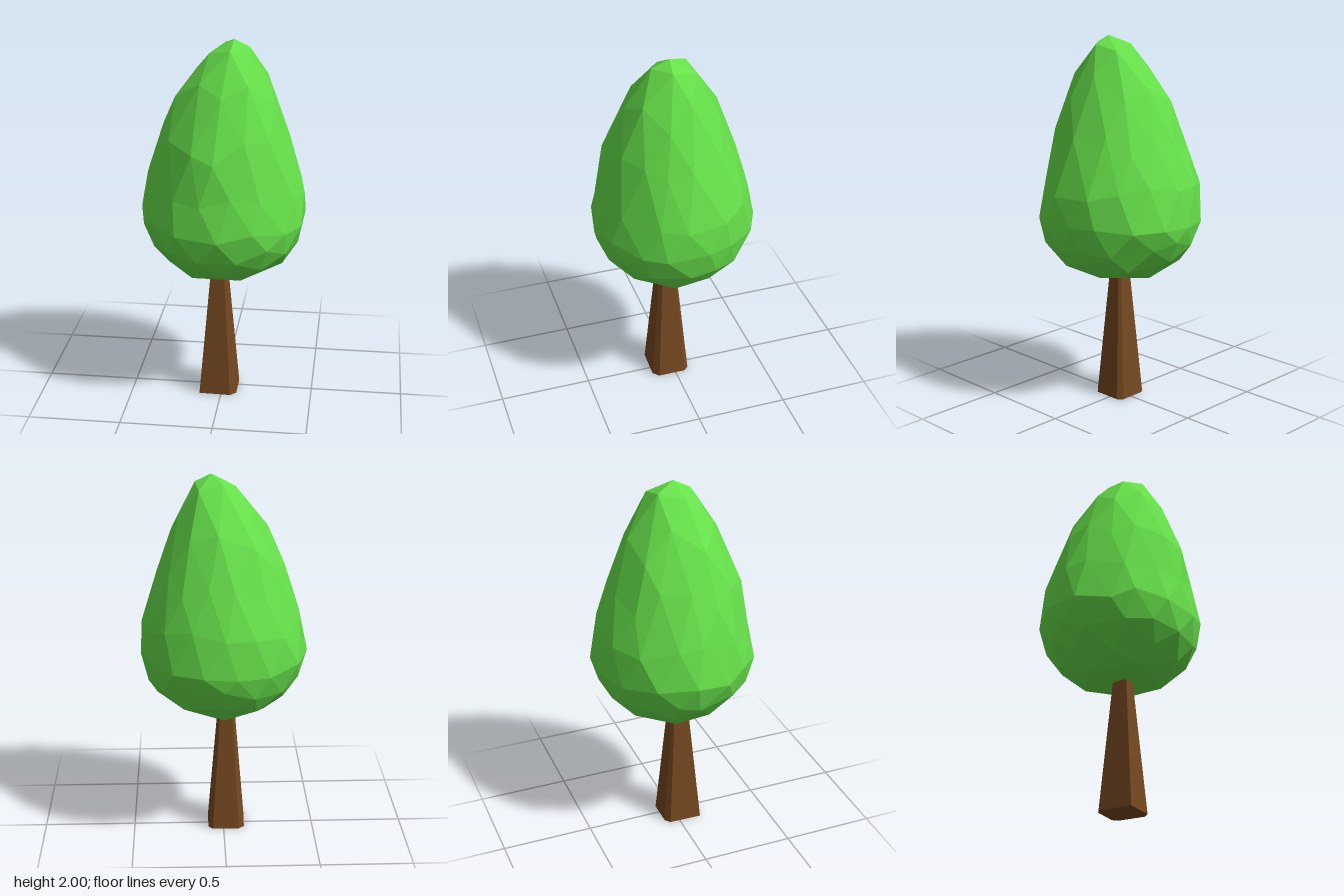
import * as THREE from 'three';
import { mergeVertices } from 'three/addons/utils/BufferGeometryUtils.js';

// Crown profile from tip to base: [t, y, xMin, xMax, zMin, zMax]
const PROFILE = [
  [0.00, 2.00, 0.06, 0.06, 0.03, 0.03],
  [0.08, 1.98, -0.01, 0.13, -0.07, 0.09],
  [0.13, 1.93, -0.07, 0.17, -0.13, 0.15],
  [0.18, 1.85, -0.14, 0.22, -0.18, 0.21],
  [0.25, 1.67, -0.28, 0.30, -0.26, 0.28],
  [0.36, 1.42, -0.36, 0.37, -0.355, 0.38],
  [0.47, 1.18, -0.435, 0.445, -0.43, 0.41],
  [0.56, 1.04, -0.45, 0.45, -0.44, 0.44],
  [0.68, 0.90, -0.40, 0.41, -0.395, 0.40],
  [0.80, 0.79, -0.31, 0.33, -0.32, 0.32],
  [0.90, 0.72, -0.22, 0.20, -0.23, 0.23],
  [1.00, 0.705, -0.03, -0.03, 0.00, 0.00],
];

function sampleProfile(t) {
  let i = 1;
  while (i < PROFILE.length - 1 && PROFILE[i][0] < t) i++;
  const a = PROFILE[i - 1], b = PROFILE[i];
  const k = (t - a[0]) / (b[0] - a[0]);
  return a.map((v, j) => THREE.MathUtils.lerp(v, b[j], k));
}

function seeded(seed) {
  return () => {
    seed = (seed * 16807) % 2147483647;
    return seed / 2147483647 - 0.5;
  };
}

// Faceted ball with a vertex at each pole, wrapped onto the profile
function crownGeometry() {
  const rand = seeded(4271);
  let geo = new THREE.IcosahedronGeometry(1, 2);
  geo.rotateX(-Math.atan((1 + Math.sqrt(5)) / 2));
  geo.deleteAttribute('normal');
  geo.deleteAttribute('uv');
  geo = mergeVertices(geo, 1e-3);
  const pos = geo.attributes.position;
  for (let i = 0; i < pos.count; i++) {
    const polar = Math.acos(THREE.MathUtils.clamp(pos.getY(i), -1, 1)) / Math.PI;
    const isPole = polar < 0.02 || polar > 0.98;
    const t = isPole ? Math.round(polar) : polar + rand() * 0.04;
    const azimuth = Math.atan2(pos.getZ(i), pos.getX(i)) + rand() * 0.16;
    const swell = 1 + rand() * 0.025;
    const [, y, x0, x1, z0, z1] = sampleProfile(t);
    pos.setXYZ(i,
      (x0 + x1) / 2 + (x1 - x0) / 2 * swell * Math.cos(azimuth),
      y,
      (z0 + z1) / 2 + (z1 - z0) / 2 * swell * Math.sin(azimuth));
  }
  geo.computeVertexNormals();
  return geo;
}

// Square trunk with three cut corners, extruded upward and tapered
function trunkGeometry() {
  const base = [
    [-0.12, 0.125], [0.052, 0.13], [0.085, 0.098], [0.085, -0.055],
    [0.06, -0.08], [-0.085, -0.08], [-0.115, -0.055],
  ];
  const shape = new THREE.Shape(base.map(([x, z]) => new THREE.Vector2(x, -z)));
  const geo = new THREE.ExtrudeGeometry(shape, { depth: 0.75, bevelEnabled: false });
  geo.rotateX(-Math.PI / 2);
  const cx = -0.018, cz = 0.026;
  const pos = geo.attributes.position;
  for (let i = 0; i < pos.count; i++) {
    const s = 1 - 0.58 * pos.getY(i) / 0.72;
    pos.setX(i, cx + (pos.getX(i) - cx) * s);
    pos.setZ(i, cz + (pos.getZ(i) - cz) * s);
  }
  geo.computeVertexNormals();
  return geo;
}

export function createModel() {
  const tree = new THREE.Group();
  tree.name = 'tree';
  const addPart = (name, geometry, color) => {
    const mesh = new THREE.Mesh(geometry, new THREE.MeshStandardMaterial({ color, flatShading: true }));
    mesh.name = name;
    tree.add(mesh);
  };
  addPart('trunk', trunkGeometry(), 0x754920);
  addPart('crown', crownGeometry(), 0x66e04a);
  return tree;
}
